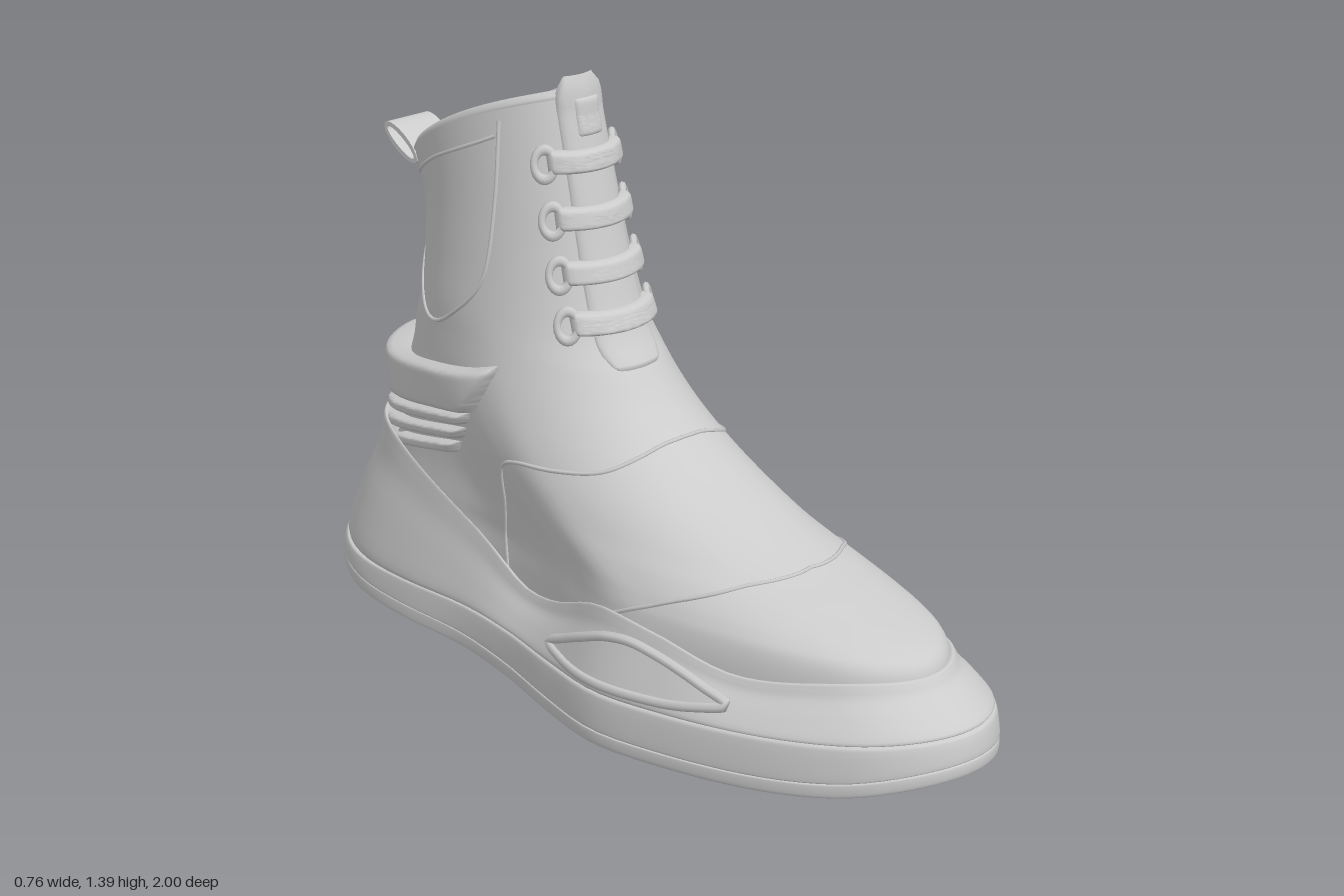
import * as THREE from 'three';
import { ParametricGeometry } from 'three/addons/geometries/ParametricGeometry.js';

const { lerp, clamp, smoothstep } = THREE.MathUtils;
const material = new THREE.MeshStandardMaterial({ color: 0xcccccc, side: THREE.DoubleSide });

// Smooth interpolation through [x, y] knots
function spline(p) {
  const slope = i => {
    const a = p[Math.max(i - 1, 0)], b = p[Math.min(i + 1, p.length - 1)];
    return (b[1] - a[1]) / (b[0] - a[0]);
  };
  return x => {
    x = clamp(x, p[0][0], p[p.length - 1][0]);
    let i = 0;
    while (i < p.length - 2 && x > p[i + 1][0]) i++;
    const h = p[i + 1][0] - p[i][0], t = (x - p[i][0]) / h, t2 = t * t, t3 = t2 * t;
    return (2 * t3 - 3 * t2 + 1) * p[i][1] + (t3 - 2 * t2 + t) * h * slope(i)
      + (3 * t2 - 2 * t3) * p[i + 1][1] + (t3 - t2) * h * slope(i + 1);
  };
}

// Foot outline: half width at c = cos(angle) is sin(angle) * width(c)
const width = spline([[-1, .46], [-.9, .45], [-.8, .425], [-.6, .345], [-.4, .288], [-.2, .292], [0, .335],
  [.2, .383], [.4, .39], [.6, .396], [.8, .41], [.9, .425], [1, .43]]);

// Upper as tilted rings: front z, front y, back z, back y, half width, roundness
const rings = [
  [.87, .16, -.85, .16, .305, 0], [.875, .25, -.84, .25, .305, 0], [.86, .31, -.84, .31, .297, .05],
  [.8, .34, -.83, .36, .287, .2], [.65, .38, -.82, .42, .275, .35], [.5, .42, -.81, .48, .265, .5],
  [.3, .5, -.79, .55, .255, .65], [.15, .58, -.77, .62, .243, .75], [.05, .655, -.75, .68, .23, .85],
  [-.02, .73, -.74, .74, .217, .92], [-.08, .81, -.72, .8, .206, 1], [-.13, .95, -.71, .9, .19, 1],
  [-.175, 1.13, -.715, 1, .175, 1], [-.225, 1.34, -.755, 1.1, .165, 1]];
const N = rings.length - 1;
const ringPart = rings[0].map((_, k) => spline(rings.map((r, i) => [i / N, r[k]])));
const ringAt = v => ringPart.map(f => f(v));
const ringY = (r, c) => lerp(r[3], r[1], (c + 1) / 2) + .03 * r[5] ** 3 * (1 - c * c);

// Point on the upper at ring v and angle a (0 = toe), moved outward by d
function upper(v, a, d, target) {
  const r = ringAt(v), [zf, , zb, , w, round] = r, c = Math.cos(a);
  const shape = lerp(width(c) / .388, 1, round);
  return target.set(Math.sin(a) * (w + d) * shape, ringY(r, c), (zf + zb) / 2 + c * ((zf - zb) / 2 + d));
}

// Point on the upper at height y, where cosAt gives cos(angle) on a ring
function findUpper(y, cosAt, side, d, target) {
  let lo = 0, hi = 1;
  for (let i = 0; i < 22; i++) {
    const v = (lo + hi) / 2, r = ringAt(v);
    if (ringY(r, cosAt(r)) < y) lo = v; else hi = v;
  }
  return upper(lo, side * Math.acos(cosAt(ringAt(lo))), d, target);
}
const byAngle = (y, a, d, t) => findUpper(y, () => Math.cos(a), Math.sin(a) < 0 ? -1 : 1, d, t);
const byDepth = (y, z, side, d, t) =>
  findUpper(y, r => clamp((2 * z - r[0] - r[2]) / (r[0] - r[2]), -1, 1), side, d, t);

// Sole levels along the length
const bottom = spline([[-1, .085], [-.8, .04], [-.5, .015], [0, 0], [.5, .02], [.8, .05], [1, .1]]);
const treadTop = c => bottom(c) + .035;
const weltTop = spline([[-1, .13], [-.5, .115], [0, .12], [.5, .145], [.8, .17], [1, .195]]);
const soleTop = spline([[-1, .475], [-.8, .46], [-.6, .38], [-.45, .31], [-.25, .22], [-.1, .225],
  [.15, .3], [.35, .29], [.6, .25], [.9, .285], [1, .29]]);
const soleX = (c, k) => Math.sqrt(1 - c * c) * width(c) * lerp(1, lerp(.85, .81, smoothstep(c, -.6, 0)), k);

export function createModel() {
  const model = new THREE.Group();
  const add = (name, geometry) => {
    const mesh = new THREE.Mesh(geometry, material);
    mesh.name = name;
    model.add(mesh);
    return mesh;
  };
  const surface = (name, f, nu, nv) => add(name, new ParametricGeometry(f, nu, nv));
  const tube = (name, pts, r, closed = false, steps = 6) =>
    add(name, new THREE.TubeGeometry(new THREE.CatmullRomCurve3(pts, closed), pts.length * steps, r, 6, closed));
  const V = () => new THREE.Vector3();
  const TAU = Math.PI * 2;

  // Sole layers: profile of [height fraction, inset]
  function soleBand(name, lo, hi, profile) {
    const n = profile.length - 1;
    const ft = spline(profile.map((p, i) => [i / n, p[0]])), fk = spline(profile.map((p, i) => [i / n, p[1]]));
    surface(name, (u, v, t) => {
      const a = u * TAU, c = Math.cos(a), k = fk(v);
      t.set(Math.sign(Math.sin(a)) * soleX(c, k), lerp(lo(c), hi(c), ft(v)), lerp(c, .015 + .865 * c, k));
    }, 112, 28);
  }
  soleBand('outsole', bottom, treadTop, [[.1, .6], [0, .3], [.02, .08], [.2, .01], [.8, 0], [1, .05], [1, .3]]);
  soleBand('welt', treadTop, weltTop, [[0, .3], [0, .05], [.15, 0], [.8, .06], [1, .15], [1, .45]]);
  soleBand('midsole', weltTop, soleTop, [[0, .5], [0, .2], [.1, .15], [.45, .5], [.72, .83], [.9, .95], [1, 1.02], [.98, 1.12], [.85, 1.3]]);

  // Underside with chevron and arc treads
  surface('soleUnderside', (u, v, t) => {
    const c = -Math.cos(v * Math.PI);
    t.set((2 * u - 1) * soleX(c, .3), bottom(c) + .012, c * .96);
  }, 12, 60);
  const tread = (pts, r = .011) =>
    tube('tread', pts.map(([x, z]) => new THREE.Vector3(x, bottom(z) + .01, z)), r);
  for (let i = 0; i < 9; i++) {
    const z = .06 + i * .085, w = soleX(z, .5) * .88;
    tread([[-w, z - .06], [-w * .5, z], [0, z + .06], [w * .5, z], [w, z - .06]]);
  }
  for (const s of [-1, 1]) for (const z of [-.2, -.4, -.6])
    tread([[s * .2, z + .06], [s * .12, z - .03], [s * .05, z - .04], [s * .03, z + .06]], .012);
  tread([[-.12, -.78], [-.05, -.83], [.05, -.83], [.12, -.78]], .016);

  // Upper, lining, collar rim and insole
  surface('upper', (u, v, t) => upper(v, u * TAU, 0, t), 96, 90);
  const floorV = 1 / N;
  surface('lining', (u, v, t) => upper(lerp(1, floorV, v), u * TAU, lerp(-.032, -.05, v), t), 64, 60);
  surface('insole', (u, v, t) => {
    upper(floorV, u * TAU, -.05, t);
    t.x *= 1 - .99 * v;
    t.z = lerp(t.z, 0, .99 * v);
  }, 64, 6);
  tube('collarRim', Array.from({ length: 32 }, (_, i) => upper(1, i / 32 * TAU, -.016, V())), .017, true);

  // Seams: [angle, height] points starting on the centre line, mirrored
  const seam = (name, pts) => {
    const path = new THREE.SplineCurve(pts.map(p => new THREE.Vector2(...p))).getPoints(40);
    const half = s => path.map(p => byAngle(p.y, s * p.x, 0, V()));
    tube(name, [...half(-1).slice(1).reverse(), ...half(1)], .005, false, 2);
  };
  seam('toeCapSeam', [[0, .418], [.57, .405], [1, .37], [1.25, .33], [1.41, .28]]);
  seam('vampSeam', [[0, .61], [.25, .605], [.54, .585], [.89, .555], [1.2, .54], [1.46, .53], [1.63, .5],
    [1.78, .42], [1.9, .33], [1.9, .22]]);
  seam('collarPanelSeam', [[Math.PI, .95], [2.77, .92], [2.43, .84], [2.06, .77], [1.7, .82], [1.37, .92],
    [1.19, 1.1], [1.03, 1.28]]);
  seam('collarBandSeam', [[Math.PI, 1.05], [2.5, 1.08], [1.8, 1.165], [1.09, 1.245]]);

  // Raised pads with rounded borders, placed by f(u, v, offset, target)
  const pad = (name, f, thick, nu, nv, pu = 8, pv = 6) => surface(name, (u, v, t) => {
    const e = (1 - Math.abs(2 * u - 1) ** pu) * (1 - Math.abs(2 * v - 1) ** pv);
    f(u, v, -.008 + (thick + .008) * Math.sqrt(Math.max(e, 0)), t);
  }, nu, nv);

  // Heel wing wrapping the back
  const wingTop = spline([[1.29, .735], [1.6, .705], [2, .675], [2.5, .645], [2.9, .645], [Math.PI, .655]]);
  const wingLow = spline([[1.29, .64], [1.67, .6], [2, .57], [2.5, .53], [2.9, .505], [Math.PI, .5]]);
  pad('heelWing', (u, v, d, t) => {
    const a0 = 1.67 - .38 * v, a = lerp(a0, TAU - a0, u), m = Math.min(a, TAU - a);
    const rear = smoothstep(m, 2.2, Math.PI);
    byAngle(lerp(wingLow(m), wingTop(m), v), a, d * (1 + rear * (1.5 * v - .3)), t);
  }, .044, 88, 24, 50, 10);

  for (const s of [-1, 1]) {
    // Side bars below the wing
    for (const [z0, y0, z1, y1] of [[-.37, .578, -.79, .485], [-.39, .535, -.74, .455], [-.42, .49, -.68, .43]])
      pad('heelBar', (u, v, d, t) =>
        byDepth(lerp(y0, y1, u) + (v - .5) * .036, lerp(z0, z1, u) - (.5 - v) * .02, s, d, t), .038, 28, 12, 20, 4);

    // Almond accent on the midsole
    const top = spline([[0, .168], [.12, .225], [.25, .265], [.4, .245], [.55, .2]]);
    const low = spline([[0, .16], [.15, .154], [.4, .168], [.55, .195]]);
    const onSole = (z, y, d, t) => {
      const k = .15 + .82 * (y - weltTop(z)) / (soleTop(z) - weltTop(z));
      return t.set(s * (lerp(soleX(z, 0), soleX((z - .015) / .865, 1), k) + d), y, z);
    };
    const rim = [];
    for (let i = 0; i <= 8; i++) rim.push(onSole(i * .55 / 8, top(i * .55 / 8), .012, V()));
    for (let i = 7; i > 0; i--) rim.push(onSole(i * .55 / 8, low(i * .55 / 8), .012, V()));
    tube('midsoleAccentFrame', rim, .012, true);
    surface('midsoleAccent', (u, v, t) => onSole(u * .55, lerp(low(u * .55), top(u * .55), v), .014, t), 24, 6);
  }

  // Tongue with a rounded lower end, and its label tab
  const frontPad = (name, a, y0, y1, lift, thick, pu, pv, taper = 0) => pad(name, (u, v, d, t) => {
    const y = lerp(y0, y1, v), end = Math.max(0, 1 - v * 10) + Math.max(0, v * 10 - 9);
    byAngle(Math.min(y, 1.3), (2 * u - 1) * a * (1 - taper * end * end), d + lift, t);
    t.y = y;
    t.z -= Math.max(y - 1.3, 0) * .1;
  }, thick, 20, 30, pu, pv);
  frontPad('tongue', .42, .73, 1.385, 0, .012, 10, 20, .35);
  frontPad('tongueLabel', .21, 1.25, 1.34, .01, .008, 8, 8);

  // Laces and eyelet loops
  for (const y of [1.2, 1.075, .955, .845]) {
    frontPad('lace', .6, y - .026, y + .026, .014, .016, 20, 6);
    for (const s of [-1, 1]) {
      const loop = add('eyelet', new THREE.TorusGeometry(.024, .009, 8, 20));
      byAngle(y - .005, s * .63, .01, loop.position);
      loop.rotation.set(-.2, s * .75, 0, 'YXZ');
      loop.scale.y = 1.4;
    }
  }

  // Pull loop at the back of the collar
  const loopShape = new THREE.Shape().absellipse(-.8, 1.115, .068, .026, 0, TAU, false, -.55);
  loopShape.holes.push(new THREE.Path().absellipse(-.8, 1.115, .056, .014, 0, TAU, true, -.55));
  add('pullLoop', new THREE.ExtrudeGeometry(loopShape, { depth: .124, bevelEnabled: false, curveSegments: 24 })
    .rotateY(-Math.PI / 2).translate(.062, 0, 0));

  return model;
}
